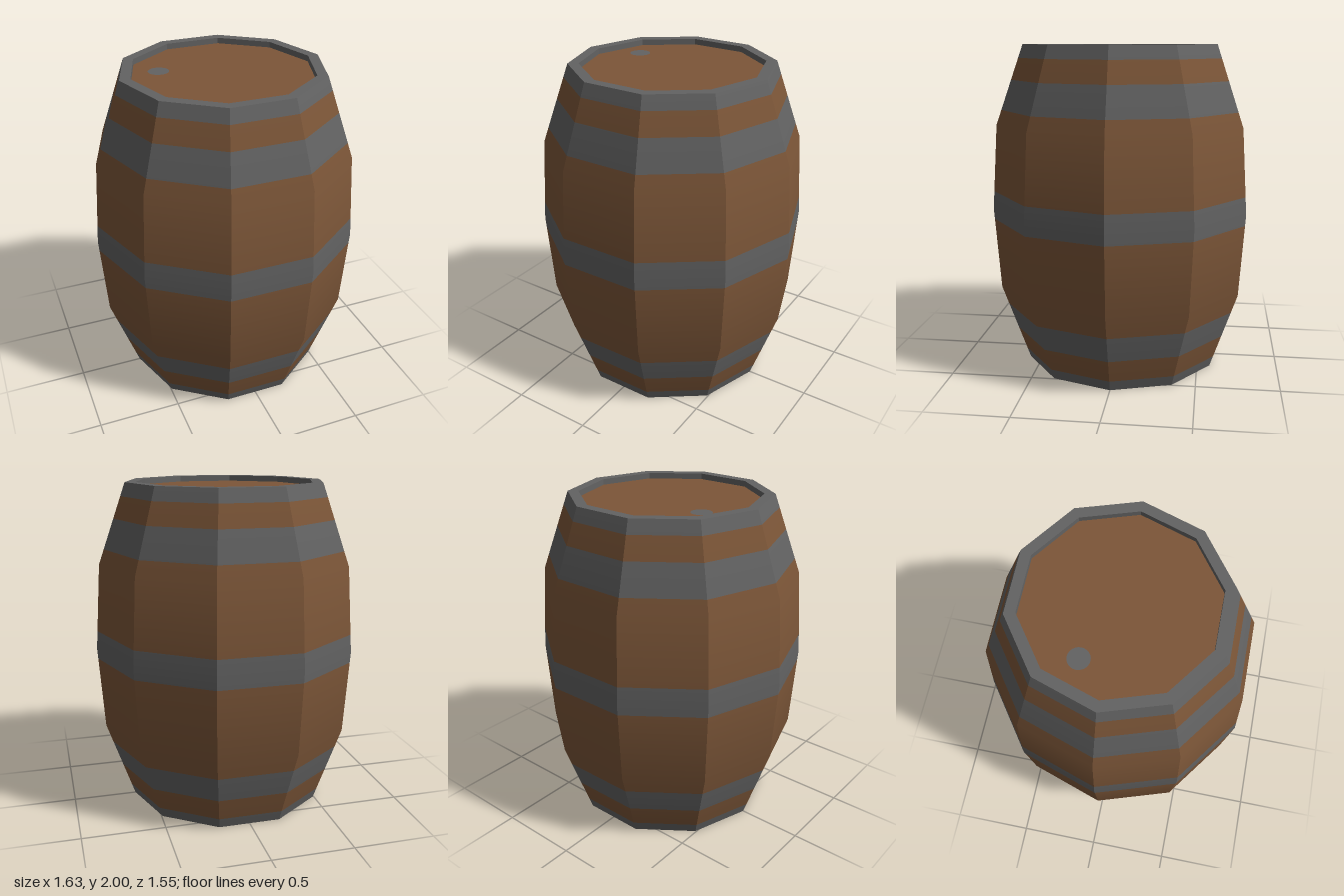
import * as THREE from 'three';

const SIDES = 10;
// barrel silhouette: height, corner radius, slope of the smooth normal
const PROFILE = [
  [0, 0.61, 0.34], [0.49, 0.78, 0.21], [1, 0.815, 0], [1.52, 0.78, -0.21], [2, 0.61, -0.34],
];

function sample(y) {
  let i = 0;
  while (i < PROFILE.length - 2 && y > PROFILE[i + 1][0]) i++;
  const [a, b] = [PROFILE[i], PROFILE[i + 1]];
  const t = (y - a[0]) / (b[0] - a[0]);
  return { r: a[1] + (b[1] - a[1]) * t, slope: a[2] + (b[2] - a[2]) * t };
}

// ten-sided wall from y0 to y1, smooth along the height, sharp between sides
function wallGeometry(y0, y1) {
  const ys = [y0, ...PROFILE.map((p) => p[0]).filter((y) => y > y0 && y < y1), y1];
  const pos = [], nor = [], idx = [];
  for (let s = 0; s < SIDES; s++) {
    const a0 = (s / SIDES) * Math.PI * 2;
    const a1 = ((s + 1) / SIDES) * Math.PI * 2;
    const mid = (a0 + a1) / 2;
    const start = pos.length / 3;
    ys.forEach((y, row) => {
      const { r, slope } = sample(y);
      const n = new THREE.Vector3(Math.cos(mid), -slope * Math.cos(Math.PI / SIDES), Math.sin(mid)).normalize();
      for (const a of [a0, a1]) {
        pos.push(r * Math.cos(a), y, r * Math.sin(a));
        nor.push(n.x, n.y, n.z);
      }
      if (row > 0) {
        const k = start + row * 2;
        idx.push(k - 1, k - 2, k, k - 1, k, k + 1);
      }
    });
  }
  const g = new THREE.BufferGeometry();
  g.setAttribute('position', new THREE.Float32BufferAttribute(pos, 3));
  g.setAttribute('normal', new THREE.Float32BufferAttribute(nor, 3));
  g.setIndex(idx);
  return g;
}

function decagon(r, Type) {
  return new Type(Array.from({ length: SIDES }, (_, i) => {
    const a = (i / SIDES) * Math.PI * 2;
    return new THREE.Vector2(r * Math.cos(a), r * Math.sin(a));
  }));
}

export function createModel() {
  const wood = new THREE.MeshStandardMaterial({ color: 0x7c5638 });
  wood.name = 'wood';
  const iron = new THREE.MeshStandardMaterial({ color: 0x636363 });
  iron.name = 'iron';

  const group = new THREE.Group();
  group.name = 'barrel';
  const add = (name, geometry, material, y = 0) => {
    const mesh = new THREE.Mesh(geometry, material);
    mesh.name = name;
    mesh.position.y = y;
    group.add(mesh);
    return mesh;
  };

  // alternating iron hoops and wooden staves, flush with each other
  const cuts = [0, 0.065, 0.21, 0.375, 0.935, 1.11, 1.61, 1.79, 1.92, 2];
  for (let i = 0; i < cuts.length - 1; i++) {
    const hoop = i % 2 === 0;
    add((hoop ? 'hoop' : 'staves') + (1 + (i >> 1)), wallGeometry(cuts[i], cuts[i + 1]), hoop ? iron : wood);
  }

  // rims and recessed heads at both ends
  const depth = 0.035;
  const ring = decagon(0.61, THREE.Shape);
  ring.holes.push(decagon(0.546, THREE.Path));
  const rim = new THREE.ExtrudeGeometry(ring, { depth, bevelEnabled: false });
  rim.rotateX(-Math.PI / 2);
  add('topRim', rim, iron, 2 - depth);
  add('bottomRim', rim, iron, 0);
  const head = new THREE.CircleGeometry(0.56, SIDES);
  add('topHead', head, wood, 2 - depth).rotation.x = -Math.PI / 2;
  add('bottomHead', head, wood, depth).rotation.x = Math.PI / 2;

  // bung on the top head
  const bung = add('bung', new THREE.CircleGeometry(0.062, 24), iron, 2 - depth + 0.004);
  bung.rotation.x = -Math.PI / 2;
  bung.position.x = -0.34;
  bung.position.z = -0.15;

  return group;
}
